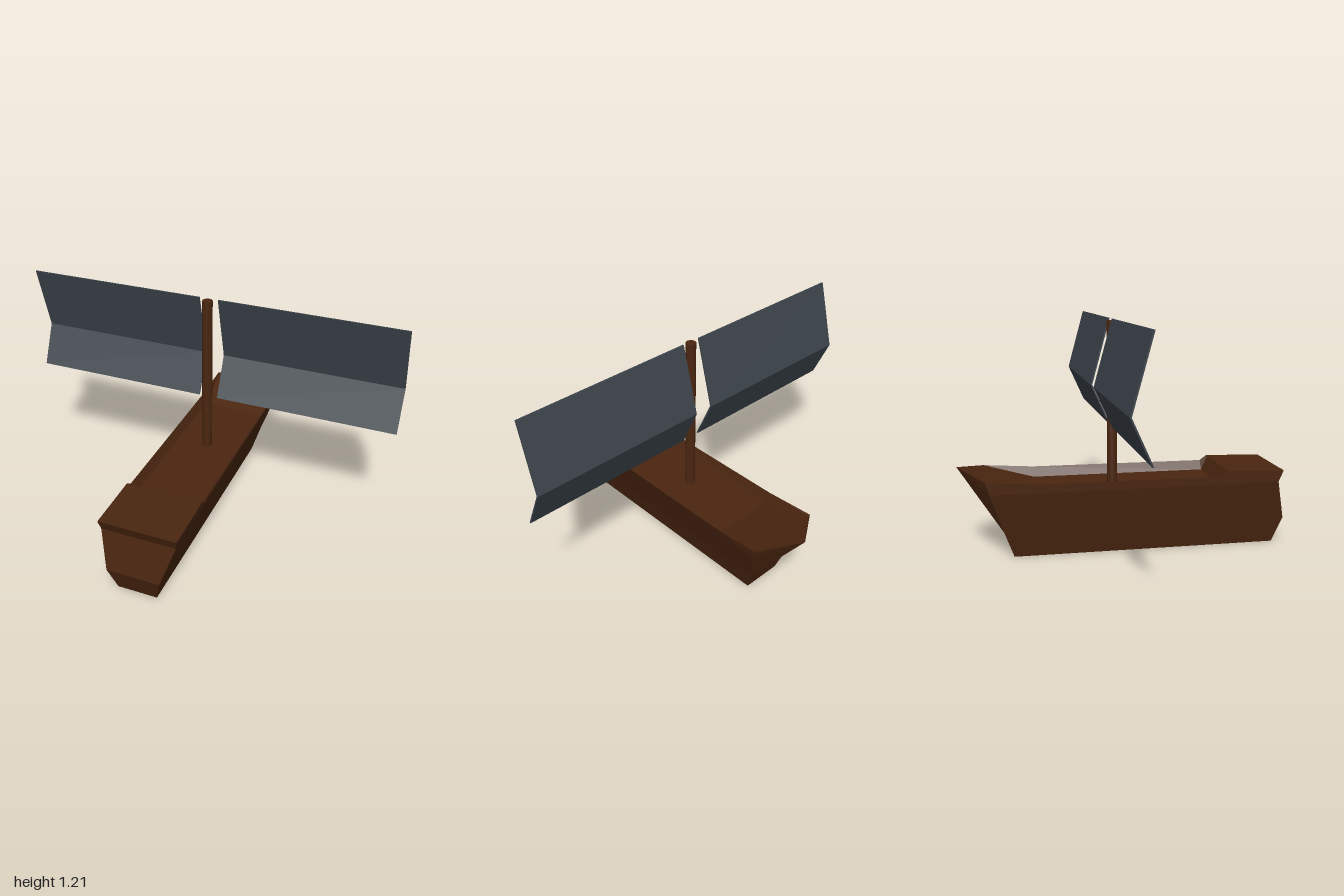
import * as THREE from 'three';

const wood = new THREE.MeshStandardMaterial({ color: 0x4a2610, flatShading: true });
wood.name = 'dark brown wood';
const cloth = new THREE.MeshStandardMaterial({ color: 0x3d454c, flatShading: true });
cloth.name = 'slate sailcloth';

// Flat-shaded mesh from a list of polygons, each a loop of points
function polygonMesh(name, polygons, material) {
  const pos = [];
  for (const p of polygons)
    for (let i = 1; i < p.length - 1; i++) pos.push(...p[0], ...p[i], ...p[i + 1]);
  const geo = new THREE.BufferGeometry();
  geo.setAttribute('position', new THREE.Float32BufferAttribute(pos, 3));
  geo.computeVertexNormals();
  const mesh = new THREE.Mesh(geo, material);
  mesh.name = name;
  return mesh;
}

// Cross-section loop: up the right side, over the deck, down the left side.
// zs holds the z of keel, bilge, strake, rim and deck edge.
function section(zs, rimY, deckY, deckX) {
  const ys = [0, 0.14, 0.35, rimY, deckY];
  const rightX = [-0.13, -0.16, -0.197, -0.2, -deckX];
  const leftX = [0.08, 0.12, 0.19, 0.205, deckX];
  const side = xs => xs.map((x, i) => [x, ys[i], zs[i]]);
  return [...side(rightX), ...side(leftX).reverse()];
}

function buildHull() {
  const at = z => [z, z, z, z, z];
  const rings = [
    section([0.815, 0.865, 0.82, 0.845, 0.845], 0.41, 0.412, 0.19),
    section(at(0.54), 0.42, 0.42, 0.19),
    section(at(0.5), 0.392, 0.345, 0.172),
    section(at(-0.45), 0.396, 0.345, 0.175),
    section([-0.58, -0.63, -0.7, -0.72, -0.72], 0.415, 0.41, 0.19),
  ];
  const faces = [];
  const n = rings[0].length;
  // Planking, deck and bottom
  for (let i = 0; i < rings.length - 1; i++)
    for (let j = 0; j < n; j++) {
      const k = (j + 1) % n;
      faces.push([rings[i][j], rings[i][k], rings[i + 1][k], rings[i + 1][j]]);
    }
  // Flat front end
  const f = rings[0];
  for (let k = 0; k < 4; k++) faces.push([f[k], f[n - 1 - k], f[n - 2 - k], f[k + 1]]);
  // Pointed rear end, drawn out to an overhanging tip
  const b = rings[rings.length - 1];
  const tip = [0.01, 0.455, -0.86];
  faces.push([b[0], b[1], b[n - 2], b[n - 1]]);
  for (let j = 1; j < n - 2; j++) faces.push([b[j], b[j + 1], tip]);
  faces.push([b[n - 2], b[1], tip]);
  return polygonMesh('hull', faces, wood);
}

// Thin sail bent back along a horizontal crease
function buildSail(name, x0) {
  const t = 0.008;
  const profile = [[0.055, 0.65], [0.15, 0.86], [0.055, 1.21]];
  const points = [...profile, ...profile.map(([z, y]) => [z - t, y]).reverse()];
  const shape = new THREE.Shape(points.map(([z, y]) => new THREE.Vector2(z, y)));
  const geo = new THREE.ExtrudeGeometry(shape, { depth: 0.95, bevelEnabled: false });
  geo.rotateY(Math.PI / 2); // profile x becomes -z, depth becomes +x
  const sail = new THREE.Mesh(geo, cloth);
  sail.position.x = x0;
  sail.name = name;
  return sail;
}

export function createModel() {
  const group = new THREE.Group();
  group.name = 'sailing boat';
  group.add(buildHull());

  const mast = new THREE.Mesh(new THREE.CylinderGeometry(0.027, 0.027, 0.87, 12), wood);
  mast.name = 'mast';
  mast.position.set(-0.005, 0.765, -0.046);
  group.add(mast);

  group.add(buildSail('leftSail', 0.05), buildSail('rightSail', -1));
  return group;
}
